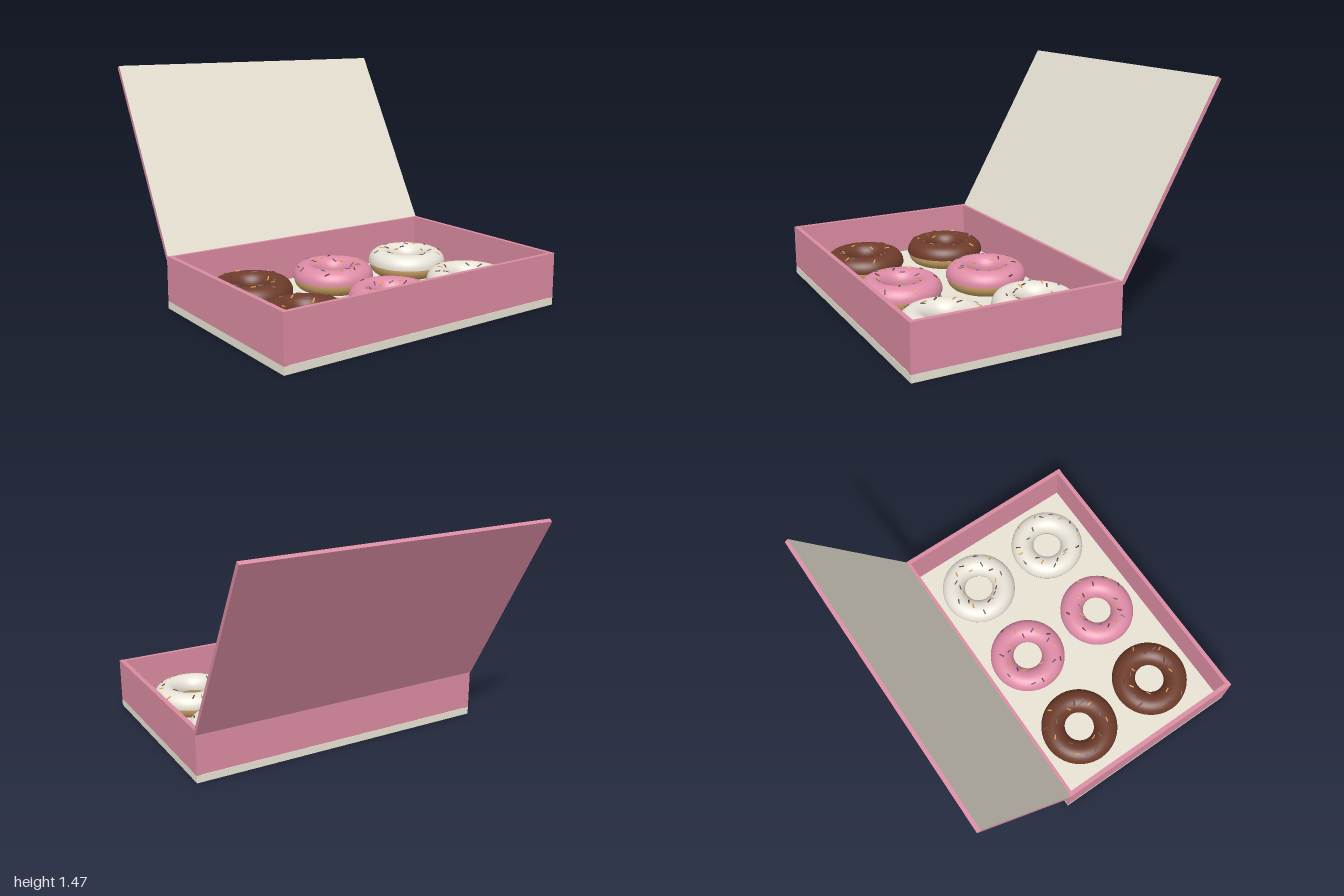
import * as THREE from 'three';

const mat = (name, color, side = THREE.FrontSide) => {
  const m = new THREE.MeshStandardMaterial({ color, side });
  m.name = name;
  return m;
};

export function createModel() {
  const pinkCard = mat('pink card', 0xd98ba1);
  const creamCard = mat('cream card', 0xe8e3d4);
  const dough = mat('dough', 0xc9a063);
  const icings = [
    mat('chocolate icing', 0x6e3b2a, THREE.DoubleSide),
    mat('pink icing', 0xde8ba6, THREE.DoubleSide),
    mat('vanilla icing', 0xede8dc, THREE.DoubleSide),
  ];
  const sprinkleColors = [
    mat('orange sprinkle', 0xe8a548),
    mat('brown sprinkle', 0x6a4034),
    mat('grey sprinkle', 0x6f6a72),
  ];

  const model = new THREE.Group();
  model.name = 'donutBox';
  const add = (parent, name, geometry, material, x = 0, y = 0, z = 0) => {
    const mesh = new THREE.Mesh(geometry, material);
    mesh.name = name;
    mesh.position.set(x, y, z);
    parent.add(mesh);
    return mesh;
  };

  // Tray: cream base and four card walls
  const front = 0.99, back = -0.34, depth = front - back, midZ = (front + back) / 2;
  const floor = 0.048, wallH = 0.287, wallY = floor + wallH / 2, t = 0.03;
  add(model, 'base', new THREE.BoxGeometry(2, floor, depth), creamCard, 0, floor / 2, midZ);
  for (const [side, s] of [['left', 1], ['right', -1]]) {
    add(model, side + 'Wall', new THREE.BoxGeometry(t, wallH, depth), pinkCard, s * (1 - t / 2), wallY, midZ);
  }
  const crossWall = new THREE.BoxGeometry(2 - 2 * t, wallH - 0.002, t - 0.002);
  add(model, 'frontWall', crossWall, pinkCard, 0, wallY, front - t / 2 - 0.001);
  add(model, 'backWall', crossWall, pinkCard, 0, wallY, back + t / 2 + 0.001);

  // Open lid: pink card with a cream inner face (+z side of the box)
  const lidFaces = [pinkCard, pinkCard, pinkCard, pinkCard, creamCard, pinkCard];
  const lid = add(model, 'lid', new THREE.BoxGeometry(2, 1.317, 0.027), lidFaces, 0, 0.889, -0.658);
  lid.rotation.x = -0.511;

  // Donut parts: full dough ring, icing shell over its upper half
  const R = 0.18, doughR = 0.074, icingR = 0.08;
  const doughGeo = new THREE.TorusGeometry(R, doughR, 20, 48).rotateX(Math.PI / 2);
  const arc = [];
  for (let i = 0; i <= 18; i++) {
    const a = -0.1 + (i / 18) * (Math.PI + 0.2);
    arc.push(new THREE.Vector2(R + icingR * Math.cos(a), icingR * Math.sin(a)));
  }
  const icingGeo = new THREE.LatheGeometry(arc, 48);
  const sprinkleGeo = new THREE.CapsuleGeometry(0.005, 0.026, 3, 6);

  let seed = 7;
  const rand = () => (seed = (seed * 16807) % 2147483647) / 2147483647;
  const up = new THREE.Vector3(0, 1, 0);

  function makeDonut(icing) {
    const donut = new THREE.Group();
    add(donut, 'doughRing', doughGeo, dough);
    add(donut, 'icing', icingGeo, icing, 0, 0.012, 0);
    // Sprinkles lie flat on the icing at scattered angles
    const count = 20;
    for (let i = 0; i < count; i++) {
      const u = ((i + 0.6 * rand()) / count) * Math.PI * 2;
      const v = Math.PI * (0.22 + 0.56 * rand());
      const spin = rand() * Math.PI;
      const ring = R + icingR * Math.cos(v);
      const along = new THREE.Vector3(-Math.sin(u), 0, Math.cos(u));
      const across = new THREE.Vector3(-Math.sin(v) * Math.cos(u), Math.cos(v), -Math.sin(v) * Math.sin(u));
      const dir = along.multiplyScalar(Math.cos(spin)).addScaledVector(across, Math.sin(spin));
      const s = add(donut, 'sprinkle', sprinkleGeo, sprinkleColors[i % 3],
        ring * Math.cos(u), 0.012 + icingR * Math.sin(v), ring * Math.sin(u));
      s.quaternion.setFromUnitVectors(up, dir.normalize());
    }
    return donut;
  }

  // Two rows of three, one flavour per column
  for (const z of [0.02, 0.62]) {
    icings.forEach((icing, col) => {
      const donut = makeDonut(icing);
      donut.name = 'donut';
      donut.position.set((col - 1) * 0.62, floor + doughR, z);
      model.add(donut);
    });
  }
  return model;
}
